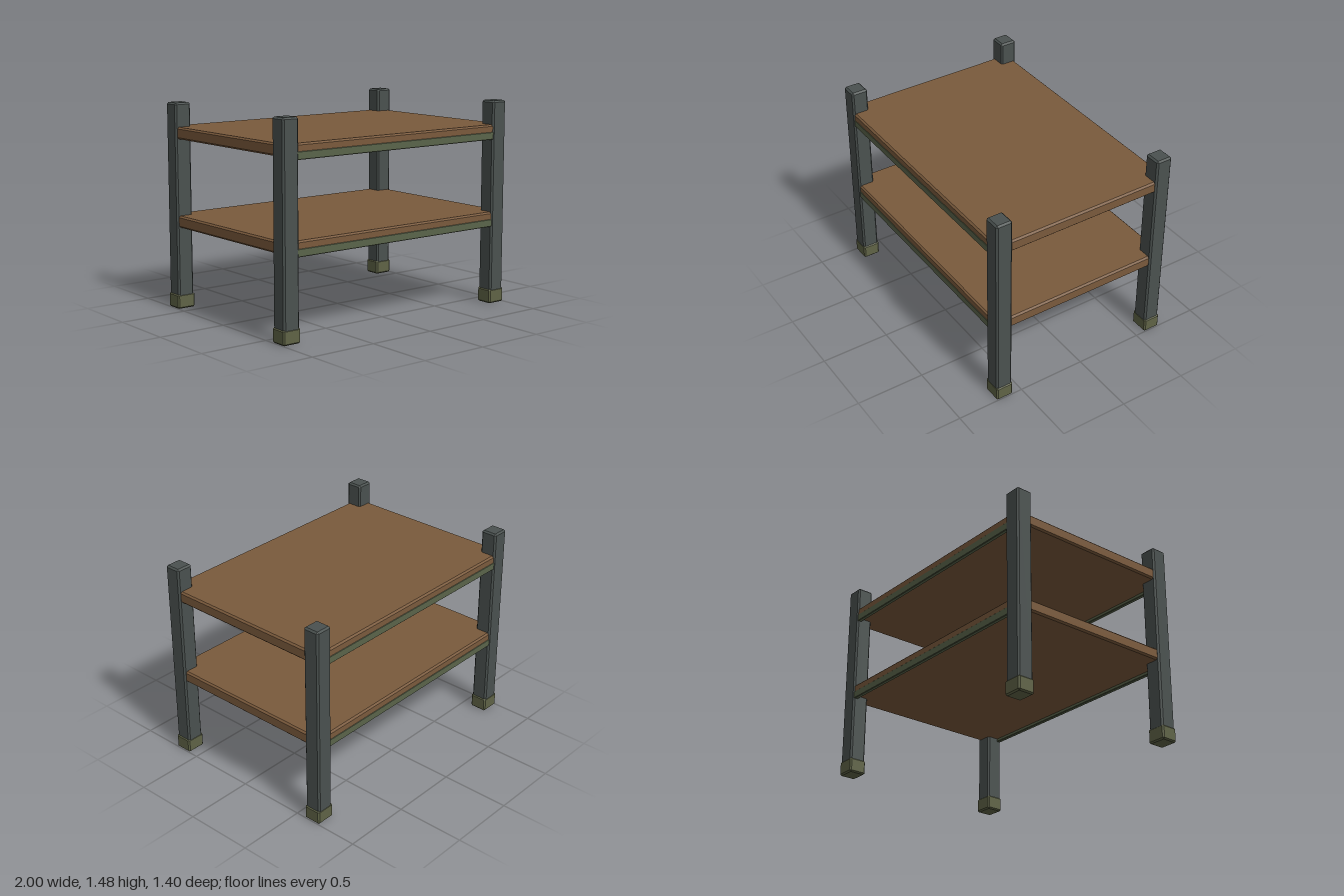
import * as THREE from 'three';
import { ConvexGeometry } from 'three/addons/geometries/ConvexGeometry.js';

const paint = (color) => new THREE.MeshStandardMaterial({ color, flatShading: true });

// Box with every edge chamfered by c
function chamferBox(w, h, d, c) {
  const points = [];
  for (const sx of [-1, 1]) for (const sy of [-1, 1]) for (const sz of [-1, 1]) {
    const x = w / 2, y = h / 2, z = d / 2;
    points.push(
      new THREE.Vector3(sx * x, sy * (y - c), sz * (z - c)),
      new THREE.Vector3(sx * (x - c), sy * y, sz * (z - c)),
      new THREE.Vector3(sx * (x - c), sy * (y - c), sz * z));
  }
  return new ConvexGeometry(points);
}

export function createModel() {
  const model = new THREE.Group();
  model.name = 'shelfTable';
  const wood = paint(0x7a5a3c), steel = paint(0x4a514f), rubber = paint(0x5f6346), trim = paint(0x5a644a);

  const add = (name, geometry, material, x, y, z) => {
    const mesh = new THREE.Mesh(geometry, material);
    mesh.name = name;
    mesh.position.set(x, y, z);
    model.add(mesh);
  };

  // Corner posts standing in feet
  const post = chamferBox(0.126, 1.46, 0.122, 0.012);
  const foot = chamferBox(0.14, 0.105, 0.127, 0.01);
  for (const sx of [-1, 1]) for (const sz of [-1, 1]) {
    const place = (sz > 0 ? 'front' : 'back') + (sx > 0 ? 'Left' : 'Right');
    add(place + 'Post', post, steel, sx * 0.93, 0.75, sz * 0.635);
    add(place + 'Foot', foot, rubber, sx * 0.93, 0.0525, sz * 0.635);
  }

  // Two shelves, each with a rail along its front and back edge
  const shelf = chamferBox(1.96, 0.085, 1.376, 0.012);
  const rail = chamferBox(1.78, 0.055, 0.03, 0.004);
  for (const [level, bottom] of [['lower', 0.592], ['upper', 1.225]]) {
    add(level + 'Shelf', shelf, wood, 0, bottom + 0.0425, 0);
    add(level + 'FrontRail', rail, trim, 0, bottom + 0.005, 0.676);
    add(level + 'BackRail', rail, trim, 0, bottom + 0.005, -0.676);
  }
  return model;
}
